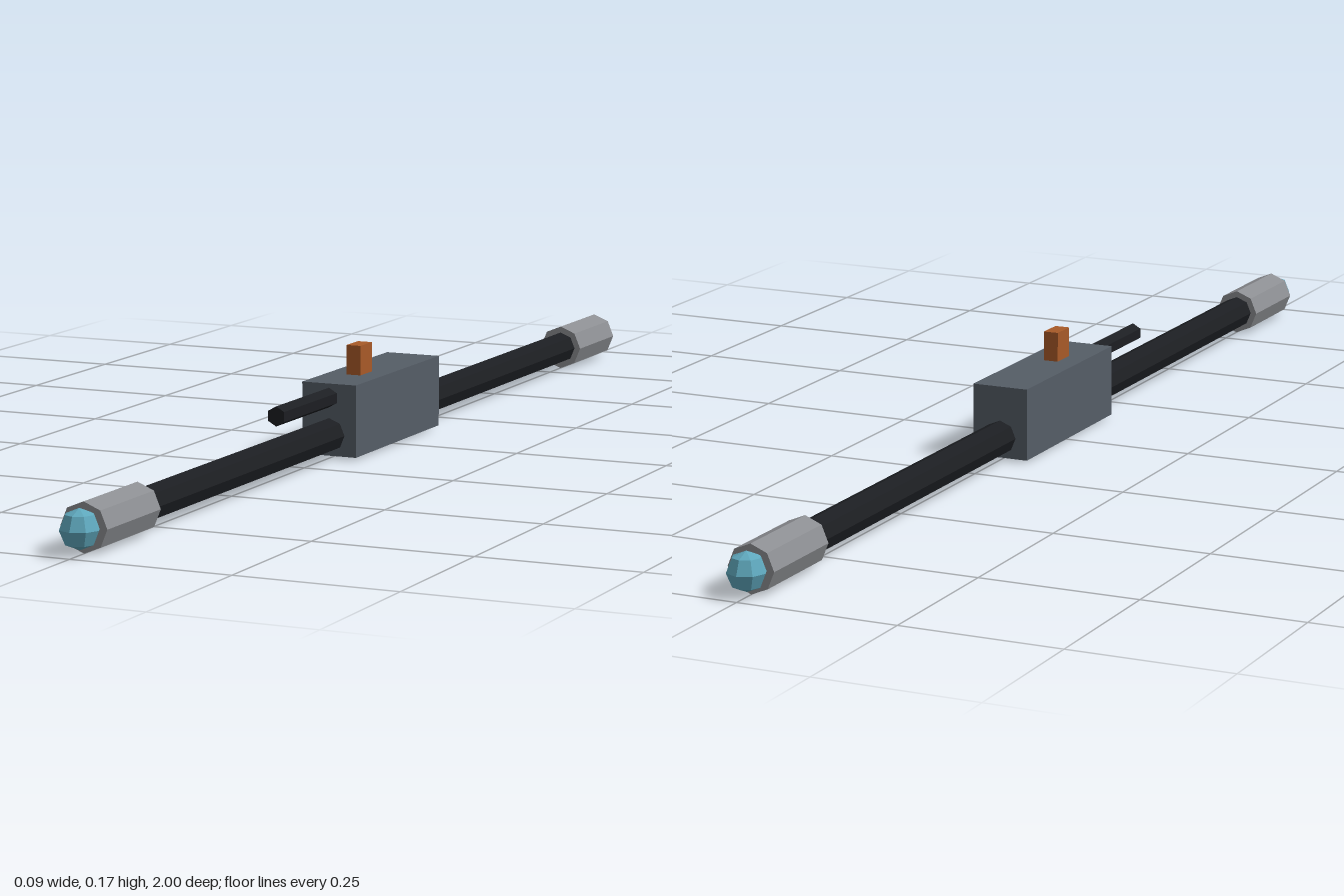
import * as THREE from 'three';

const AXIS_Y = 0.037;

function part(name, geometry, color, x, y, z) {
  const material = new THREE.MeshStandardMaterial({ color, flatShading: true });
  const mesh = new THREE.Mesh(geometry, material);
  mesh.name = name;
  mesh.position.set(x, y, z);
  return mesh;
}

// Cylinder lying along z, with a corner pointing up
function rod(radius, length, sides) {
  return new THREE.CylinderGeometry(radius, radius, length, sides).rotateX(Math.PI / 2);
}

export function createModel() {
  const model = new THREE.Group();
  model.name = 'staff';

  // Long dark shaft and central housing
  model.add(part('shaft', rod(0.0265, 1.9, 8), 0x1c1e22, 0, AXIS_Y, 0));
  model.add(part('housing', new THREE.BoxGeometry(0.092, 0.114, 0.32), 0x555d66, 0, 0.061, 0));

  // Small barrel and raised switch on the housing
  model.add(part('barrel', rod(0.0155, 0.25, 6), 0x1c1e22, 0, 0.096, 0.223));
  model.add(part('switch', new THREE.BoxGeometry(0.024, 0.056, 0.043), 0xa85a28, 0, 0.137, 0.048));

  // Metal sleeve and glowing tip at each end
  for (const side of [1, -1]) {
    const end = new THREE.Group();
    end.name = side > 0 ? 'frontEnd' : 'backEnd';
    end.add(part('sleeve', rod(0.037, 0.16, 8), 0x8c8e92, 0, AXIS_Y, side * 0.878));
    end.add(part('tip', new THREE.SphereGeometry(0.03, 8, 4), 0x5fa8bd, 0, AXIS_Y, side * 0.97));
    model.add(end);
  }
  return model;
}
